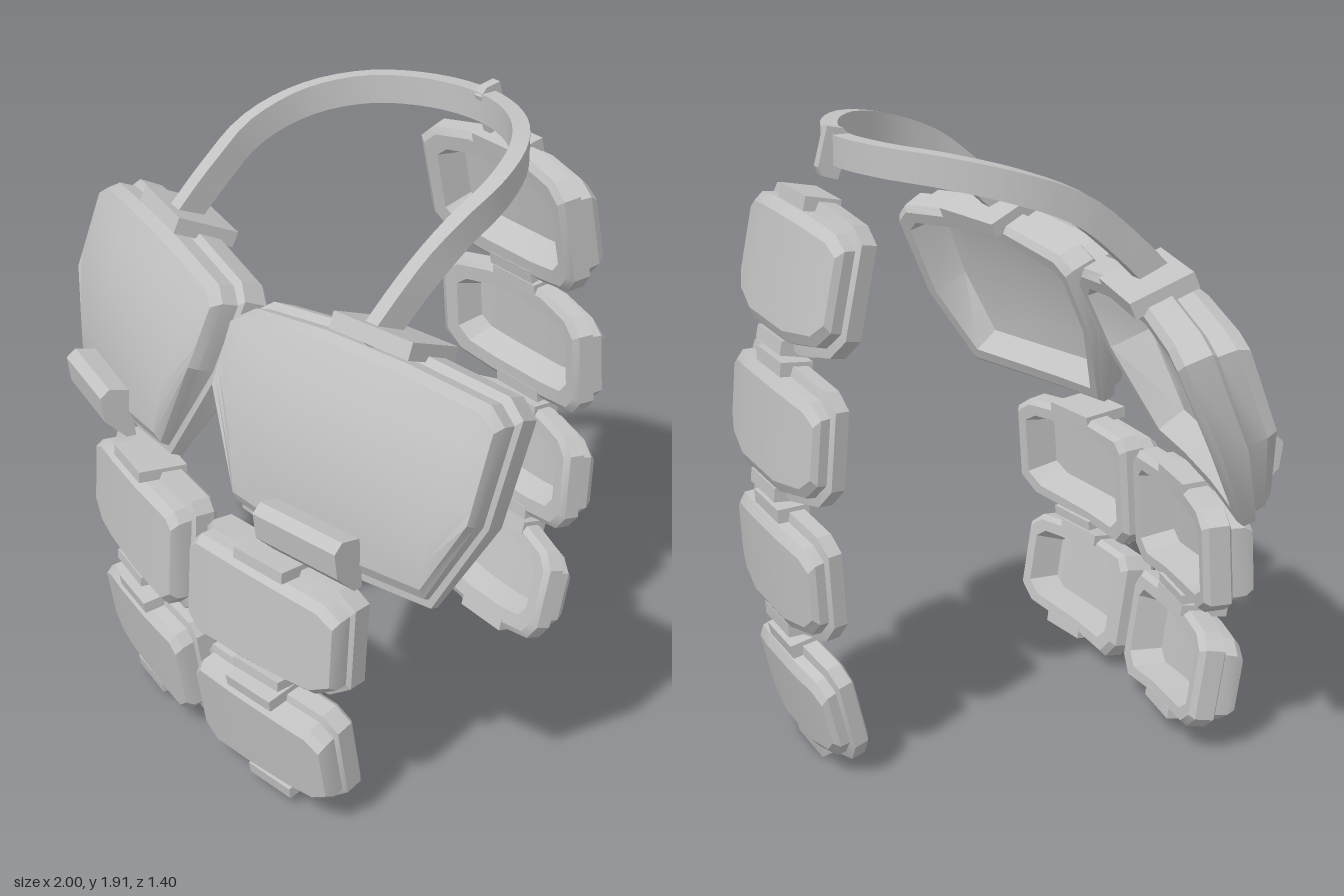
import * as THREE from 'three';
import { toCreasedNormals } from 'three/addons/utils/BufferGeometryUtils.js';

const steel = new THREE.MeshStandardMaterial({ color: 0xc2c2c2 });
steel.name = 'plain grey';

function solid(name, positions, indices, crease = 0.45) {
  let geo = new THREE.BufferGeometry();
  geo.setAttribute('position', new THREE.Float32BufferAttribute(positions, 3));
  geo.setIndex(indices);
  geo = toCreasedNormals(geo.toNonIndexed(), crease);
  const mesh = new THREE.Mesh(geo, steel);
  mesh.name = name;
  return mesh;
}

// Section of every plate: [inset in x, inset in y, share of depth],
// from the hollow floor round the rim to the front panel
const SECTION = [[0.075, 0.075, 0.68], [0.05, 0.05, 0], [0.015, 0.015, 0], [0, 0, 0.12], [0, 0, 0.52],
  [0.012, 0.022, 0.57], [0.012, 0.026, 0.84], [0.02, 0.05, 1]];

// Hollow armour plate. Its rim lies on a sheet bowed in x and leaning in y.
function plate(name, o) {
  const { top, bottom, z0, bow, lean, depth, bulge = 0, taper = 0, scale = 1, side = 1 } = o;
  const n = top.length;
  const loop = [...top, ...[...bottom].reverse()];
  const xs = loop.map(p => p[0]), ys = loop.map(p => p[1]);
  const x0 = Math.min(...xs), x1 = Math.max(...xs), y0 = Math.min(...ys), y1 = Math.max(...ys);
  const cx = (x0 + x1) / 2, cy = (y0 + y1) / 2;
  const pos = [], idx = [];
  const add = (x, y, w) => {
    const t = (y1 - y) / (y1 - y0);
    const normal = new THREE.Vector3(2 * bow * x, lean, 1).normalize();
    normal.multiplyScalar(w * depth * (1 + bulge * t - taper * t * t));
    pos.push(side * (x + normal.x), y + normal.y, z0 - bow * x * x - lean * (y - cy) + normal.z);
    return pos.length / 3 - 1;
  };
  const tri = (a, b, c) => (side > 0 ? idx.push(a, b, c) : idx.push(a, c, b));
  const quad = (a, b, c, d) => { tri(a, b, c); tri(a, c, d); };
  const inset = (p, [sx, sy]) => [
    cx + (p[0] - cx) * (1 - sx * scale * 2 / (x1 - x0)),
    cy + (p[1] - cy) * (1 - sy * scale * 2 / (y1 - y0))];

  const rings = SECTION.map(s => loop.map(p => add(...inset(p, s), s[2])));
  for (let j = 0; j < rings.length - 1; j++) {
    for (let i = 0; i < loop.length; i++) {
      const k = (i + 1) % loop.length;
      quad(rings[j][i], rings[j + 1][i], rings[j + 1][k], rings[j][k]);
    }
  }
  // Front skin and hollow floor as grids from top edge to bottom edge
  const rows = 6;
  for (const [j, front] of [[0, false], [SECTION.length - 1, true]]) {
    const s = SECTION[j], grid = [];
    for (let r = 0; r <= rows; r++) {
      const t = r / rows;
      grid.push(top.map((p, i) => {
        if (i === 0 || i === n - 1) { // straight ends meet the side walls
          const a = rings[j][i] * 3, b = rings[j][loop.length - 1 - i] * 3;
          for (let k = 0; k < 3; k++) pos.push(pos[a + k] + (pos[b + k] - pos[a + k]) * t);
          return pos.length / 3 - 1;
        }
        const a = inset(p, s), b = inset(bottom[i], s);
        return add(a[0] + (b[0] - a[0]) * t, a[1] + (b[1] - a[1]) * t, s[2]);
      }));
    }
    for (let r = 0; r < rows; r++) for (let i = 0; i < n - 1; i++) {
      const a = grid[r][i], b = grid[r + 1][i], c = grid[r + 1][i + 1], d = grid[r][i + 1];
      if (front) quad(a, b, c, d); else quad(a, d, c, b);
    }
  }
  return solid(name, pos, idx);
}

// Clip folded over a plate edge
function clip(name, size, at, lean, yaw, side = 1) {
  const mesh = new THREE.Mesh(new THREE.BoxGeometry(...size), steel);
  mesh.name = name;
  mesh.position.set(side * at[0], at[1], at[2]);
  mesh.rotation.set(-Math.atan(lean), side * yaw, 0, 'YXZ');
  return mesh;
}

// Part cut from a [z, y] profile and extruded along x
function sideCut(name, profile, width, x, z, yaw) {
  const shape = new THREE.Shape(profile.map(p => new THREE.Vector2(...p)));
  const geo = new THREE.ExtrudeGeometry(shape, { depth: width, bevelEnabled: false });
  geo.translate(0, 0, -width / 2);
  geo.rotateY(-Math.PI / 2);
  const mesh = new THREE.Mesh(geo, steel);
  mesh.name = name;
  mesh.position.set(x, 0, z);
  mesh.rotation.y = yaw;
  return mesh;
}

// Flat ribbon that loops from the chest behind the neck
function neckStrap() {
  const half = [[0.495, 1.47, 0.365], [0.495, 1.615, 0.215], [0.495, 1.72, 0.08], [0.46, 1.788, -0.09],
    [0.36, 1.825, -0.25], [0.2, 1.835, -0.37]];
  const pts = [...half, [0, 1.835, -0.42], ...half.map(p => [-p[0], p[1], p[2]]).reverse()];
  const curve = new THREE.CatmullRomCurve3(pts.map(p => new THREE.Vector3(...p)));
  const steps = 48, pos = [], idx = [];
  for (let i = 0; i <= steps; i++) {
    const p = curve.getPointAt(i / steps), t = curve.getTangentAt(i / steps);
    const across = new THREE.Vector3(-t.z, 0, t.x).normalize();
    const up = new THREE.Vector3().crossVectors(across, t).normalize();
    if (up.y < 0) up.negate();
    for (const [a, b] of [[-1, -1], [1, -1], [1, 1], [-1, 1]]) {
      const q = p.clone().addScaledVector(across, a * 0.025).addScaledVector(up, b * 0.044);
      pos.push(q.x, q.y, q.z);
    }
    if (i < steps) for (let k = 0; k < 4; k++) {
      const a = i * 4 + k, b = i * 4 + (k + 1) % 4;
      idx.push(a, a + 4, b, b, a + 4, b + 4);
    }
  }
  idx.push(0, 1, 2, 0, 2, 3);
  const e = steps * 4;
  idx.push(e, e + 2, e + 1, e, e + 3, e + 2);
  // Make sure the faces point outward
  let volume = 0;
  const v = i => new THREE.Vector3().fromArray(pos, i * 3);
  for (let i = 0; i < idx.length; i += 3) volume += v(idx[i]).dot(v(idx[i + 1]).cross(v(idx[i + 2])));
  if (volume < 0) idx.reverse();
  return solid('neckStrap', pos, idx);
}

export function createModel() {
  const model = new THREE.Group();
  model.name = 'bodyArmour';

  for (const side of [1, -1]) {
    const tag = side > 0 ? 'left' : 'right';
    // Chest
    model.add(plate(tag + 'ChestPlate', {
      top: [[0.03, 1.375], [0.08, 1.415], [0.35, 1.45], [0.63, 1.45], [0.89, 1.42], [0.945, 1.375]],
      bottom: [[0.04, 1.17], [0.19, 0.885], [0.4, 0.87], [0.63, 0.86], [0.87, 0.86], [0.96, 1.1]],
      z0: 0.425, bow: 0.2, lean: 0.457, depth: 0.18, bulge: 0.8, taper: 1.3, side }));
    model.add(clip('chestTopClip', [0.285, 0.05, 0.2], [0.515, 1.488, 0.3], 0.43, 0.19, side));
    // Chunky bevelled buckle low on the chest
    model.add(sideCut('chestBuckle', [[-0.03, 0.885], [0, 0.885], [0.065, 0.95], [0.075, 1.03],
      [0.045, 1.055], [-0.02, 1.04]], 0.31, side * 0.55, 0.595, side * 0.18));
    // Belly, two rows
    model.add(plate(tag + 'UpperBellyPlate', {
      top: [[0.03, 0.77], [0.06, 0.805], [0.25, 0.815], [0.45, 0.81], [0.56, 0.8], [0.62, 0.76]],
      bottom: [[0.03, 0.48], [0.08, 0.43], [0.25, 0.442], [0.45, 0.452], [0.55, 0.46], [0.62, 0.51]],
      z0: 0.54, bow: 0.23, lean: 0.07, depth: 0.155, side }));
    model.add(clip('bellyClip', [0.2, 0.035, 0.155], [0.345, 0.815, 0.575], 0.07, 0.15, side));
    model.add(clip('bellyClip', [0.19, 0.03, 0.155], [0.34, 0.452, 0.59], 0.07, 0.15, side));
    model.add(plate(tag + 'LowerBellyPlate', {
      top: [[0.035, 0.36], [0.065, 0.4], [0.23, 0.405], [0.42, 0.4], [0.53, 0.39], [0.58, 0.35]],
      bottom: [[0.035, 0.1], [0.085, 0.045], [0.24, 0.06], [0.42, 0.07], [0.52, 0.08], [0.58, 0.13]],
      z0: 0.53, bow: 0.21, lean: -0.15, depth: 0.145, side }));
    model.add(clip('bellyClip', [0.19, 0.035, 0.155], [0.315, 0.39, 0.6], -0.15, 0.13, side));
    model.add(clip('bellyClip', [0.18, 0.035, 0.14], [0.33, 0.057, 0.55], -0.15, 0.13, side));
  }

  // Spine plates, built facing forward and turned round together
  const back = new THREE.Group();
  back.name = 'backPlates';
  back.rotation.y = Math.PI;
  const spine = [ // half width, bottom, top, rim z, lean, depth
    [0.335, 1.275, 1.7, 0.505, 0.2, 0.13],
    [0.33, 0.85, 1.24, 0.575, 0.08, 0.115],
    [0.3, 0.43, 0.81, 0.57, -0.06, 0.115],
    [0.27, 0.03, 0.39, 0.51, -0.24, 0.115]];
  spine.forEach(([w, y0, y1, z0, lean, depth], i) => {
    const mid = (y0 + y1) / 2;
    const xs = [-1, -0.84, -0.4, 0.4, 0.84, 1];
    const drop = [0.07, 0.025, 0, 0, 0.025, 0.07], lift = [0.09, 0.03, 0, 0, 0.03, 0.09];
    back.add(plate('backPlate' + (i + 1), {
      top: xs.map((x, k) => [x * w, y1 - drop[k]]),
      bottom: xs.map((x, k) => [x * w, y0 + lift[k]]),
      z0, bow: 0.4, lean, depth, scale: 1.3 }));
    for (const y of [y0 + 0.008, y1 - 0.008]) {
      const z = z0 - lean * (y - mid) + depth * 0.36;
      back.add(clip('backClip', [0.2, 0.042, depth * 0.85], [0, y + lean * depth * 0.36, z], lean, 0));
    }
  });
  model.add(back);

  // Strap and its six-sided rear loop
  model.add(neckStrap());
  model.add(sideCut('strapLoop', [[-0.03, 1.905], [0.02, 1.895], [0.04, 1.87], [0, 1.75],
    [-0.05, 1.765], [-0.06, 1.79]].reverse(), 0.032, 0, -0.43, 0));
  return model;
}
